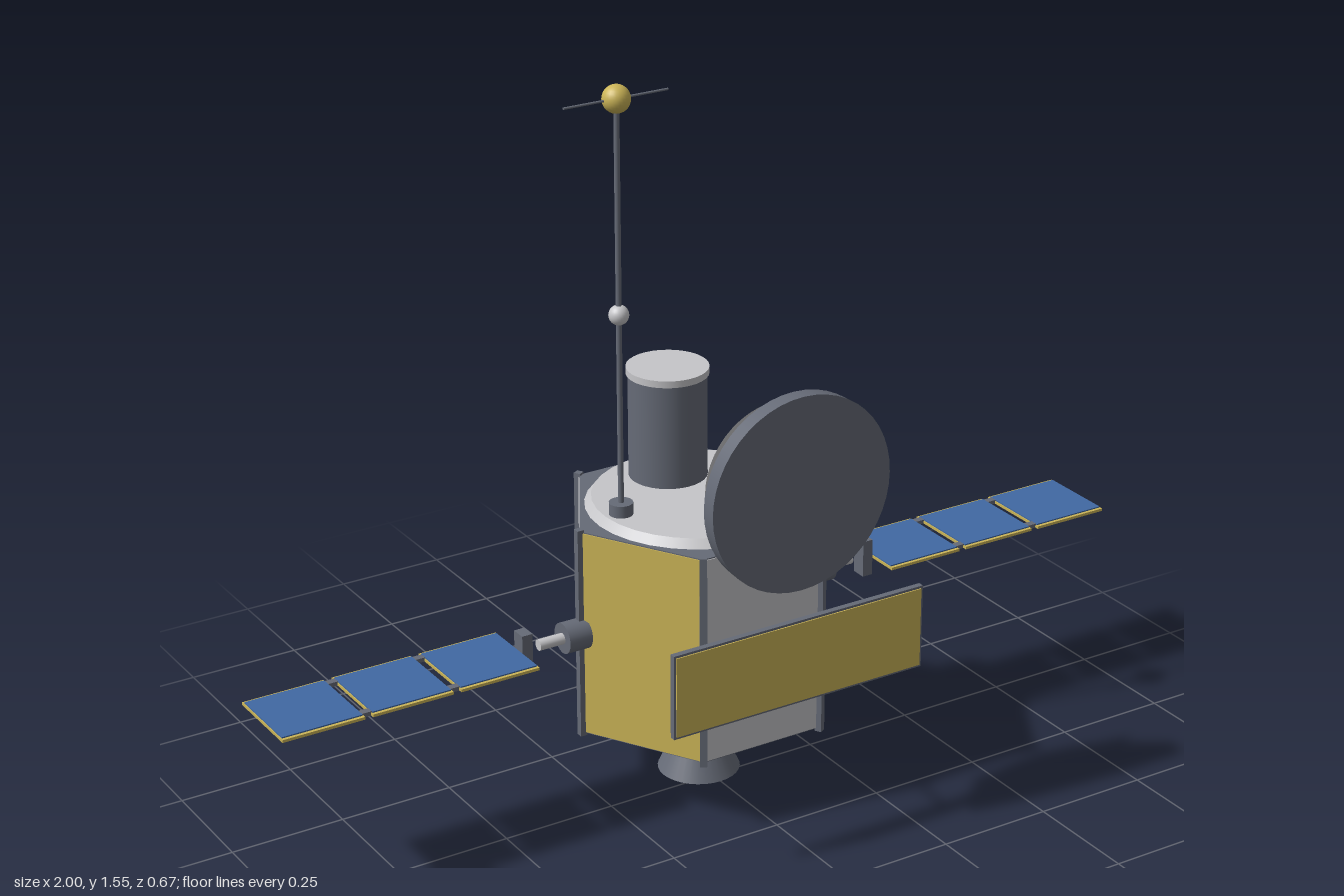
import * as THREE from 'three';

const material = (name, color) => {
  const m = new THREE.MeshStandardMaterial({ color });
  m.name = name;
  return m;
};

export function createModel() {
  const gold = material('gold foil', 0xcbb457);
  const silver = material('silver', 0xc6c6c9);
  const dark = material('slate grey', 0x666b77);
  const blue = material('solar blue', 0x4169a3);
  const silverOpen = silver.clone();
  silverOpen.side = THREE.DoubleSide;

  const model = new THREE.Group();
  model.name = 'spacecraft';
  const CZ = -0.055; // body axis

  const add = (name, geo, mat, x = 0, y = 0, z = 0, parent = model) => {
    const mesh = new THREE.Mesh(geo, mat);
    mesh.name = name;
    mesh.position.set(x, y, z);
    parent.add(mesh);
    return mesh;
  };
  const box = (name, mat, w, h, d, x, y, z, parent) =>
    add(name, new THREE.BoxGeometry(w, h, d), mat, x, y, z, parent);
  const cyl = (name, mat, rTop, rBottom, h, x, y, z, parent) =>
    add(name, new THREE.CylinderGeometry(rTop, rBottom, h, 32), mat, x, y, z, parent);
  const ball = (name, mat, r, x, y, z) =>
    add(name, new THREE.SphereGeometry(r, 24, 16), mat, x, y, z);
  const rod = (name, mat, r, a, b) => {
    const from = new THREE.Vector3(...a), to = new THREE.Vector3(...b);
    const dir = to.clone().sub(from);
    const mesh = cyl(name, mat, r, r, dir.length(), 0, 0, 0);
    mesh.position.copy(from).add(to).multiplyScalar(0.5);
    mesh.quaternion.setFromUnitVectors(new THREE.Vector3(0, 1, 0), dir.normalize());
    return mesh;
  };

  // Hexagonal body with alternating foil and silver faces, and corner posts
  const R = 0.283, apothem = R * Math.cos(Math.PI / 6);
  const bus = new THREE.Group();
  bus.name = 'body';
  bus.position.set(0, 0.39, CZ);
  model.add(bus);
  const core = new THREE.CylinderGeometry(R, R, 0.46, 6, 1, false, Math.PI / 6).toNonIndexed();
  core.computeVertexNormals();
  add('bodyCore', core, dark, 0, 0, 0, bus);
  for (let i = 0; i < 6; i++) {
    const a = i * Math.PI / 3, c = a + Math.PI / 6;
    const face = box('sidePanel', i % 2 ? gold : silver, 0.281, 0.455, 0.004,
      Math.sin(a) * apothem, 0, Math.cos(a) * apothem, bus);
    face.rotation.y = a;
    const post = box('cornerPost', dark, 0.015, 0.47, 0.015,
      Math.sin(c) * (R + 0.002), 0, Math.cos(c) * (R + 0.002), bus);
    post.rotation.y = c;
  }
  cyl('topDeck', silver, 0.222, 0.236, 0.018, 0, 0.629, CZ);

  // Engine
  const tank = add('tank', new THREE.SphereGeometry(0.14, 32, 12, 0, Math.PI * 2, Math.PI / 2, Math.PI / 2),
    dark, 0, 0.162, CZ);
  tank.scale.y = 0.55;
  cyl('nozzle', dark, 0.043, 0.088, 0.096, 0, 0.048, CZ);

  // Telescope tube
  cyl('telescope', dark, 0.083, 0.083, 0.235, 0, 0.75, -0.174);
  cyl('telescopeCap', silver, 0.087, 0.087, 0.015, 0, 0.873, -0.174);

  // Dish: curved back, straight rim, flat closed front
  const profile = [];
  for (let i = 0; i <= 12; i++) {
    const r = 0.204 * i / 12;
    profile.push(new THREE.Vector2(r, 0.266 - Math.sqrt(0.266 ** 2 - r * r)));
  }
  const dish = new THREE.Group();
  dish.name = 'dish';
  dish.position.set(0, 0.782, 0.2);
  dish.rotation.x = Math.PI / 2;
  model.add(dish);
  add('dishBack', new THREE.LatheGeometry(profile, 48), dark, 0, 0, 0, dish);
  add('dishRim', new THREE.CylinderGeometry(0.208, 0.206, 0.036, 48), dark, 0, 0.113, 0, dish);
  add('dishRing', new THREE.LatheGeometry(
    [new THREE.Vector2(0.095, 0.021), new THREE.Vector2(0.163, 0.031)], 48), silverOpen, 0, 0, 0, dish);

  // Short tilted boom on the deck
  cyl('boomBase', dark, 0.036, 0.036, 0.03, 0, 0.652, 0.118);
  rod('boom', silver, 0.012, [0, 0.655, 0.118], [0, 0.735, 0.153]);

  // Front foil shield and its bracket
  box('shieldFrame', dark, 0.595, 0.184, 0.013, 0, 0.415, 0.324);
  box('shieldFoil', gold, 0.585, 0.174, 0.004, 0, 0.415, 0.331);
  rod('shieldStrut', dark, 0.005, [0, 0.414, 0.23], [0, 0.414, 0.32]);
  rod('shieldBar', dark, 0.005, [-0.2, 0.414, 0.315], [0.2, 0.414, 0.315]);

  // Mast with two balls and a cross antenna
  cyl('mastBase', dark, 0.025, 0.025, 0.028, -0.187, 0.65, -0.052);
  cyl('mast', dark, 0.006, 0.006, 0.88, -0.187, 1.08, -0.052);
  ball('mastJoint', silver, 0.021, -0.187, 1.072, -0.052);
  ball('mastTip', gold, 0.029, -0.187, 1.52, -0.052);
  rod('crossAntenna', dark, 0.0025, [-0.305, 1.52, -0.052], [-0.07, 1.52, -0.052]);

  // Camera box looking sideways
  box('camera', silver, 0.092, 0.072, 0.078, 0.212, 0.672, -0.05);
  box('cameraHood', silver, 0.012, 0.045, 0.046, 0.262, 0.672, -0.05);
  box('cameraWindow', dark, 0.004, 0.032, 0.036, 0.268, 0.672, -0.05);
  rod('cameraPivot', dark, 0.018, [0.145, 0.665, -0.05], [0.17, 0.665, -0.05]);

  // Tapered sensor on the back
  const sensor = cyl('rearSensor', silver, 0.054, 0.078, 0.08, 0.155, 0.473, -0.294);
  sensor.rotation.x = -Math.PI / 2;
  box('rearSensorBox', silver, 0.05, 0.045, 0.055, 0.155, 0.405, -0.297);

  // Solar wings
  for (const s of [-1, 1]) {
    rod('wingDrum', dark, 0.033, [s * 0.275, 0.39, CZ], [s * 0.328, 0.39, CZ]);
    rod('wingShaft', silver, 0.012, [s * 0.325, 0.39, CZ], [s * 0.385, 0.39, CZ]);
    box('wingBracket', dark, 0.024, 0.082, 0.034, s * 0.419, 0.388, CZ);
    for (let i = 0; i < 3; i++) {
      const x = s * (0.521 + i * 0.1955);
      box('solarPanel', gold, 0.178, 0.006, 0.184, x, 0.388, -0.058);
      box('solarCells', blue, 0.174, 0.003, 0.17, x, 0.3922, -0.058);
      if (i < 2) for (const z of [-0.132, 0.016])
        box('panelHinge', dark, 0.026, 0.009, 0.016, x + s * 0.098, 0.389, z);
    }
  }
  return model;
}
